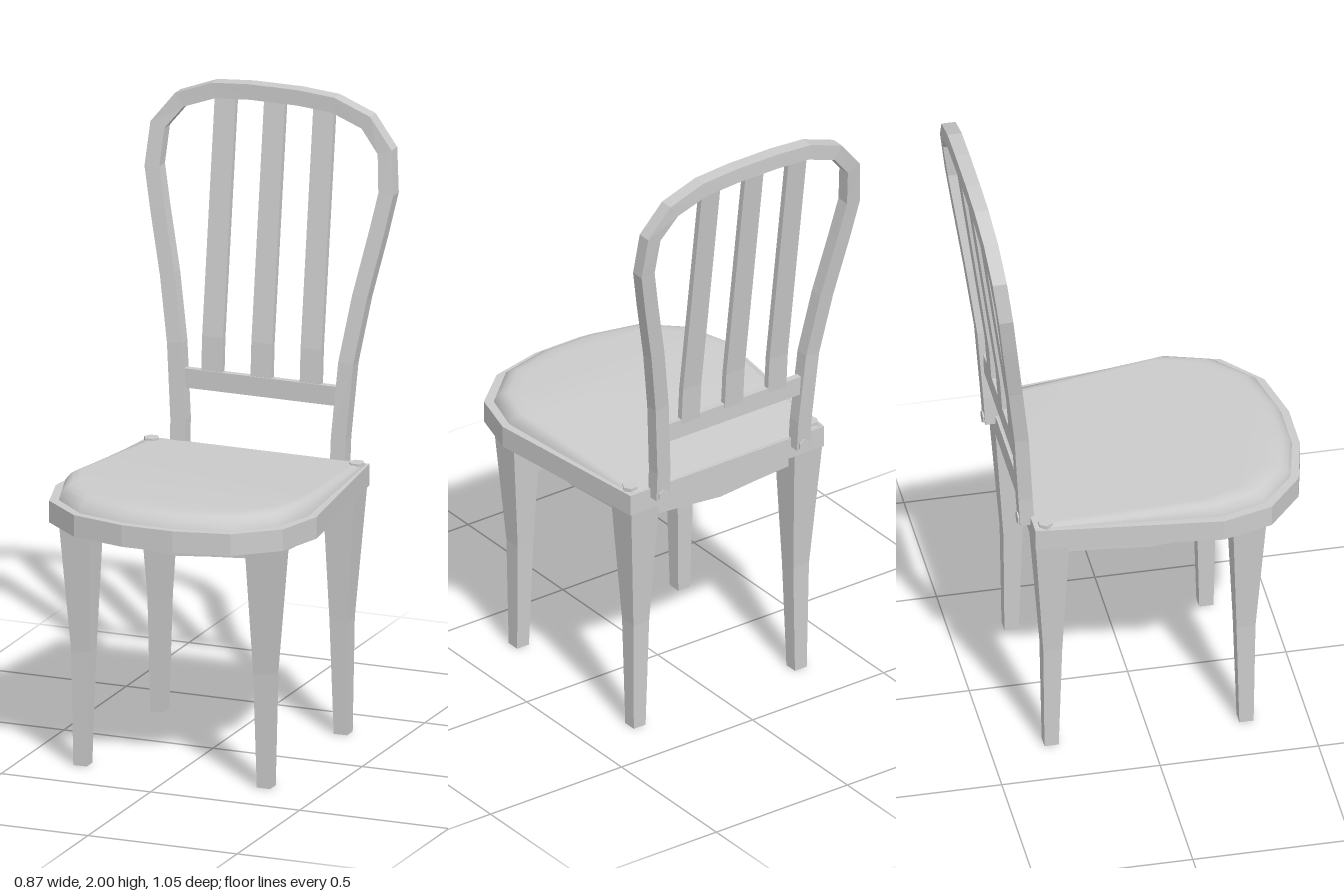
import * as THREE from 'three';

const flat = new THREE.MeshStandardMaterial({ color: 0xcccccc, flatShading: true });
const smooth = new THREE.MeshStandardMaterial({ color: 0xcccccc });
const V = (x, y, z) => new THREE.Vector3(x, y, z);

function add(parent, name, geometry, material = flat) {
  const mesh = new THREE.Mesh(geometry, material);
  mesh.name = name;
  parent.add(mesh);
  return mesh;
}

function meshFrom(points, index) {
  const g = new THREE.BufferGeometry().setFromPoints(points);
  g.setIndex(index);
  g.computeVertexNormals();
  return g;
}

// Closed solid through a row of four-cornered sections
function loft(sections) {
  const index = [];
  for (let s = 0; s < sections.length - 1; s++) {
    for (let i = 0; i < 4; i++) {
      const a = s * 4 + i, b = s * 4 + (i + 1) % 4;
      index.push(a, b, b + 4, a, b + 4, a + 4);
    }
  }
  const e = (sections.length - 1) * 4;
  index.push(0, 2, 1, 0, 3, 2, e, e + 1, e + 2, e, e + 2, e + 3);
  const g = meshFrom(sections.flat(), index).toNonIndexed();
  g.computeVertexNormals();
  return g;
}

// Rectangular bar along a path, its width lying in the xy plane
function bar(path, width, depth) {
  const w = width / 2, d = depth / 2;
  return loft(path.map((p, i) => {
    const a = path[Math.max(i - 1, 0)], b = path[Math.min(i + 1, path.length - 1)];
    const t = V(b.x - a.x, b.y - a.y, 0).normalize();
    return [[1, 1], [1, -1], [-1, -1], [-1, 1]].map(([u, v]) =>
      V(p.x + t.y * w * u, p.y - t.x * w * u, p.z + d * v));
  }));
}

// Backward lean of the backrest
const leanZ = (y) => (y < 1.2 ? -0.4 + (1.2 - y) * 0.065 : -0.4 - (y - 1.2) * 0.135);

export function createModel() {
  const chair = new THREE.Group();
  chair.name = 'chair';

  // Seat board
  const half = [[0.37, -0.367], [0.437, 0.215], [0.392, 0.375], [0.263, 0.486], [0.085, 0.527]];
  const outline = [...half, ...half.slice().reverse().map(([x, z]) => [-x, z])];
  const shape = new THREE.Shape(outline.map(([x, z]) => new THREE.Vector2(x, -z)));
  const board = new THREE.ExtrudeGeometry(shape, { depth: 0.07, bevelEnabled: false });
  board.rotateX(-Math.PI / 2).translate(0, 0.79, 0);
  add(chair, 'seatBoard', board);

  // Cushion: shrinking rings, rising from the back to a rounded front
  const padHalf = [[0.362, -0.36], [0.411, 0.215], [0.367, 0.357], [0.252, 0.462], [0.083, 0.502]];
  const pad = [...padHalf, ...padHalf.slice().reverse().map(([x, z]) => [-x, z])];
  const n = pad.length, points = [], index = [];
  const rings = [[1, 0], [0.99, 0.45], [0.965, 0.8], [0.94, 0.95], [0.9, 1]];
  rings.forEach(([s, t]) => pad.forEach(([x, z]) =>
    points.push(V(x * s, 0.86 + t * (z < 0 ? 0.003 : 0.045), (z + 0.36) * s - 0.36))));
  for (let r = 0; r < rings.length - 1; r++) {
    for (let i = 0; i < n; i++) {
      const a = r * n + i, b = r * n + (i + 1) % n;
      index.push(a, a + n, b, b, a + n, b + n);
    }
  }
  const top = (rings.length - 1) * n;
  for (let i = 0; i < n / 2 - 1; i++) {
    const a = top + i, b = top + n - 1 - i;
    index.push(a, b, a + 1, a + 1, b, b - 1);
  }
  add(chair, 'seatCushion', meshFrom(points, index), smooth);

  // Tapered legs
  const legGeometry = loft([[0, 0.285, 0.33], [0.37, 0.275, 0.335], [0.8, 0.258, 0.365]]
    .map(([y, a, b]) => [V(b, y, b), V(b, y, a), V(a, y, a), V(a, y, b)]));
  ['frontLeft', 'backLeft', 'backRight', 'frontRight'].forEach((name, i) => {
    add(chair, name + 'Leg', legGeometry).rotation.y = i * Math.PI / 2;
  });

  // Sagging rails between the legs
  const railPath = [[0.28, 0.765], [0.13, 0.754], [0, 0.742], [-0.13, 0.754], [-0.28, 0.765]]
    .map(([x, y]) => V(x, y, 0.31));
  const railGeometry = bar(railPath, 0.052, 0.04);
  ['front', 'left', 'back', 'right'].forEach((name, i) => {
    add(chair, name + 'LegRail', railGeometry).rotation.y = i * Math.PI / 2;
  });

  // Hoop of the backrest
  const side = [[0.268, 0.83], [0.269, 0.93], [0.287, 1.17], [0.322, 1.38], [0.366, 1.58], [0.392, 1.71],
    [0.381, 1.84], [0.313, 1.925], [0.2, 1.967], [0.08, 1.976]];
  const hoop = [...side, ...side.slice().reverse().map(([x, y]) => [-x, y])];
  add(chair, 'backHoop', bar(hoop.map(([x, y]) => V(x, y, leanZ(y))), 0.05, 0.045));

  // Cross rail and upright slats
  const back = leanZ(1.06);
  add(chair, 'backCrossRail', bar([V(0.26, 1.06, back), V(-0.26, 1.06, back)], 0.062, 0.022));
  for (const x of [-0.165, 0, 0.165]) {
    add(chair, 'backSlat', bar([1.07, 1.2, 1.96].map((y) => V(x, y, leanZ(y))), 0.07, 0.02));
  }

  // Six-sided bolts on the seat corners and behind the hoop ends
  for (const s of [-1, 1]) {
    const bolt = add(chair, 'seatBolt', new THREE.CylinderGeometry(0.025, 0.025, 0.02, 6));
    bolt.position.set(s * 0.344, 0.863, -0.33);
    bolt.rotation.y = Math.PI / 2;
    const pin = add(chair, 'hoopBolt', new THREE.CylinderGeometry(0.02, 0.02, 0.05, 6));
    pin.position.set(s * 0.268, 0.845, -0.38);
    pin.rotation.x = Math.PI / 2;
  }
  return chair;
}
